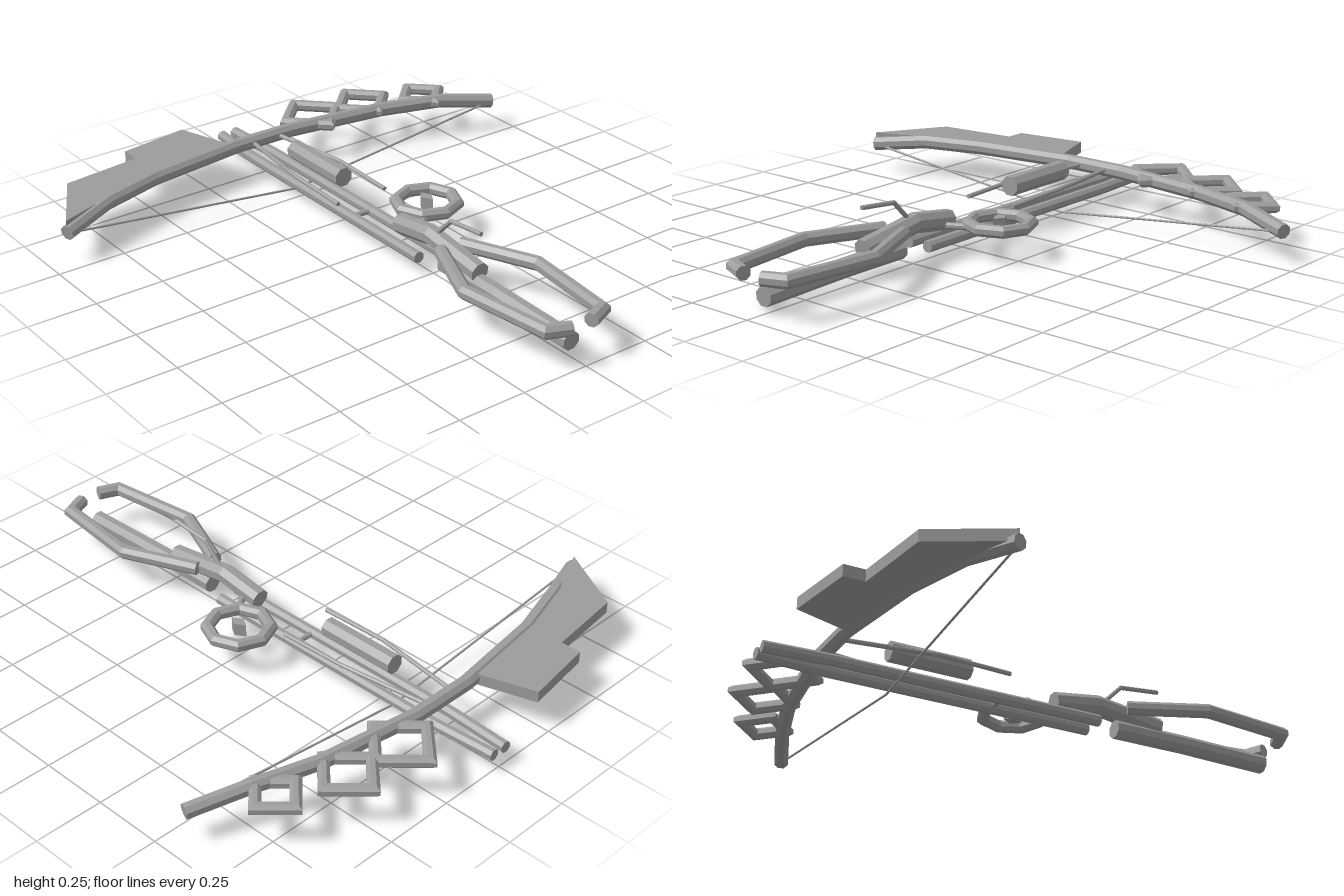
import * as THREE from 'three';

const steel = new THREE.MeshStandardMaterial({ color: 0x9c9c9c, flatShading: true });
steel.name = 'plain grey';

// Mitred eight-sided pipe through a list of [x, y, z] points
function pipeGeometry(points, radius, closed = false, sides = 8) {
  const pts = points.map((p) => new THREE.Vector3(...p));
  const n = pts.length;
  const segments = closed ? n : n - 1;
  const dirs = [];
  for (let i = 0; i < segments; i++) dirs.push(pts[(i + 1) % n].clone().sub(pts[i]).normalize());
  const pos = [];
  const index = [];
  const worldUp = new THREE.Vector3(0, 1, 0);
  for (let k = 0; k < n; k++) {
    const before = dirs[closed ? (k + segments - 1) % segments : Math.max(k - 1, 0)];
    const after = dirs[Math.min(k, segments - 1)];
    const mitre = before.clone().add(after).normalize();
    const side = worldUp.clone().cross(mitre).normalize();
    const up = mitre.clone().cross(side);
    for (let i = 0; i < sides; i++) {
      const a = ((i + 0.5) / sides) * Math.PI * 2;
      const v = side.clone().multiplyScalar(Math.cos(a) * radius).addScaledVector(up, Math.sin(a) * radius);
      // stretch the section along the bend so the pipe keeps its width
      const bend = after.clone().sub(before);
      if (bend.length() > 1e-4) {
        bend.normalize();
        v.addScaledVector(bend, v.dot(bend) * (1 / mitre.dot(after) - 1));
      }
      v.add(pts[k]);
      pos.push(v.x, v.y, v.z);
    }
  }
  for (let k = 0; k < segments; k++) {
    const a = k * sides;
    const b = ((k + 1) % n) * sides;
    for (let i = 0; i < sides; i++) {
      const j = (i + 1) % sides;
      index.push(a + i, a + j, b + j, a + i, b + j, b + i);
    }
  }
  if (!closed) {
    const e = (n - 1) * sides;
    for (let i = 1; i < sides - 1; i++) index.push(0, i + 1, i, e, e + i, e + i + 1);
  }
  const g = new THREE.BufferGeometry();
  g.setAttribute('position', new THREE.Float32BufferAttribute(pos, 3));
  g.setIndex(index);
  g.computeVertexNormals();
  return g;
}

export function createModel() {
  const model = new THREE.Group();
  model.name = 'crossbow';
  const add = (name, geometry) => {
    const mesh = new THREE.Mesh(geometry, steel);
    mesh.name = name;
    model.add(mesh);
    return mesh;
  };
  const pipe = (name, points, radius, closed) => add(name, pipeGeometry(points, radius, closed));

  // Mirrored pairs: rails, thin side rods and rear grip arms
  for (const [s, label] of [[1, 'left'], [-1, 'right']]) {
    pipe(`${label}Rail`, [[s * 0.028, 0.062, -1], [s * 0.042, 0.062, -0.76], [s * 0.042, 0.062, 0.225]], 0.021);
    pipe(`${label}SideRod`, [[s * 0.1, 0.13, -0.15], [s * 0.1, 0.138, -0.41], [s * 0.055, 0.135, -0.75]], 0.008);
    pipe(`${label}GripArm`, [[s * 0.042, 0.135, 0.34], [s * 0.155, 0.135, 0.6],
      [s * 0.115, 0.135, 0.94], [s * 0.04, 0.135, 0.972]], 0.025);
  }
  pipe('railCrossbar', [[-0.03, 0.065, -0.148], [0.03, 0.065, -0.148]], 0.01);

  // Bow limb and string
  const half = [[0.12, 0.135, -0.755], [0.5, 0.135, -0.703], [0.73, 0.135, -0.635], [0.93, 0.11, -0.558]];
  const mirrored = half.map(([x, y, z]) => [-x, y, z]).reverse();
  pipe('bowLimb', [...mirrored, ...half], 0.027);
  pipe('bowString', [[-0.93, 0.11, -0.556], [0, 0.004, -0.556], [0.93, 0.11, -0.556]], 0.004);

  // Stepped wing plate behind one side of the limb
  const wing = new THREE.Shape([[-0.93, -0.56], [-0.785, -0.815], [-0.49, -0.85], [-0.49, -0.925],
    [-0.225, -0.965], [-0.16, -0.765], [-0.5, -0.703], [-0.73, -0.635]].map(([x, z]) => new THREE.Vector2(x, -z)));
  add('wingPlate', new THREE.ExtrudeGeometry(wing, { depth: 0.042, bevelEnabled: false })
    .rotateX(-Math.PI / 2).translate(0, 0.112, 0));

  // Diamond frames behind the other side
  for (const [x, z, r] of [[0.26, -0.818, 0.118], [0.48, -0.8, 0.105], [0.705, -0.715, 0.086]]) {
    const y = 0.135;
    pipe('diamondFrame', [[x + r, y, z], [x, y, z + r], [x - r, y, z], [x, y, z - r]], 0.021, true);
  }

  // Side ring with its pin and bracket
  const ring = Array.from({ length: 8 }, (_, i) => {
    const a = (i / 8) * Math.PI * 2;
    return [0.168 + Math.cos(a) * 0.108, 0.118, Math.sin(a) * 0.108];
  });
  pipe('sideRing', ring, 0.022, true);
  add('ringPin', new THREE.CylinderGeometry(1, 1, 0.045, 4).scale(0.022, 1, 0.035).translate(0.168, 0.118, 0));
  pipe('ringBracket', [[0.1, 0.11, 0.085], [0.035, 0.11, 0.12]], 0.012);

  // Barrel, body, stock and lever along the centre line
  pipe('barrel', [[0, 0.163, -0.552], [0, 0.163, -0.255]], 0.036);
  pipe('body', [[0, 0.115, 0.07], [0, 0.14, 0.24], [0, 0.105, 0.49]], 0.036);
  pipe('stock', [[0, 0.067, 0.31], [0, 0.067, 0.58], [0, 0.058, 0.93]], 0.034).scale.y = 0.97;
  pipe('lever', [[0, 0.165, 0.275], [0, 0.231, 0.34], [0, 0.246, 0.492]], 0.008);

  return model;
}
